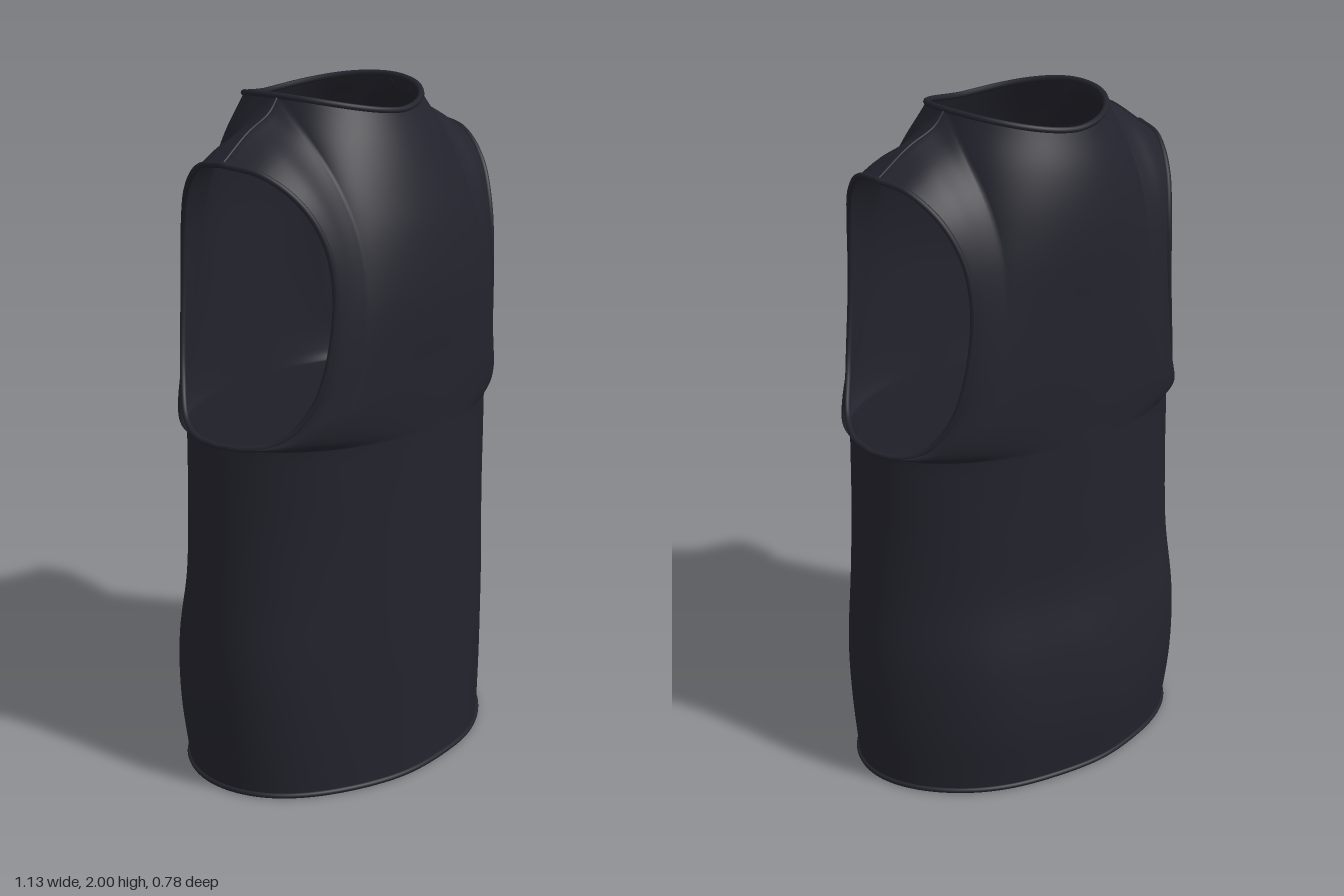
import * as THREE from 'three';
import { mergeVertices } from 'three/addons/utils/BufferGeometryUtils.js';

const V = (x, y, z) => new THREE.Vector3(x, y, z);
const curve = (pts) => new THREE.CatmullRomCurve3(pts.map((p) => V(...p)));
const COLS = 40, NECK_COL = 24, LOW = 30, HIGH = 44;

// Edge guides on the wearer's left: side of the body, then the armhole (z scaled per panel)
const sideLow = curve([[0.535, 0.008, 0], [0.555, 0.2, 0], [0.562, 0.4, 0], [0.548, 0.6, 0], [0.537, 0.8, 0], [0.532, 1.055, 0]]);
const armhole = curve([[0.532, 1.055, 0], [0.515, 1.06, 0.1], [0.47, 1.09, 0.19], [0.41, 1.2, 0.262], [0.368, 1.45, 0.295],
  [0.378, 1.62, 0.278], [0.415, 1.74, 0.22], [0.458, 1.815, 0.12], [0.485, 1.835, 0]]);
const shoulder = curve([[0.25, 1.99, 0], [0.288, 1.948, 0], [0.38, 1.905, 0], [0.485, 1.835, 0]]);

// Centre lines of the two panels
const panels = [
  {
    name: 'frontPanel', dir: 1, arm: 1, neckZ: 0.24,
    low: curve([[0, 0.008, 0.383], [0, 0.2, 0.382], [0, 0.4, 0.382], [0, 0.6, 0.383], [0, 0.8, 0.384], [0, 1.055, 0.387]]),
    high: curve([[0, 1.055, 0.387], [0, 1.09, 0.388], [0, 1.15, 0.39], [0, 1.25, 0.392], [0, 1.45, 0.394], [0, 1.62, 0.368],
      [0, 1.74, 0.33], [0, 1.84, 0.29], [0, 1.945, 0.24]]),
  },
  {
    name: 'backPanel', dir: -1, arm: 0.87, neckZ: 0.262,
    low: curve([[0, 0.008, 0.36], [0, 0.2, 0.382], [0, 0.4, 0.372], [0, 0.6, 0.338], [0, 0.8, 0.336], [0, 1.055, 0.338]]),
    high: curve([[0, 1.055, 0.338], [0, 1.09, 0.338], [0, 1.15, 0.339], [0, 1.25, 0.34], [0, 1.45, 0.34], [0, 1.62, 0.34],
      [0, 1.74, 0.328], [0, 1.84, 0.304], [0, 1.945, 0.262]]),
  },
];

// Top row: half the neckline, then the shoulder seam
function topPoint(p, j) {
  if (j > NECK_COL) return shoulder.getPoint((j - NECK_COL) / (COLS - NECK_COL));
  const t = (j / NECK_COL) * Math.PI / 2;
  return V(0.25 * Math.sin(t), 1.945 + 0.045 * Math.sin(t) ** 1.6, p.neckZ * Math.cos(t));
}

// Rounded row between the edge and the centre line
function rowPoint(e, c, arm, j) {
  const a = (j / COLS) * Math.PI / 2, k = Math.cos(a);
  const ez = e.z * arm;
  return V(e.x * Math.sin(a), e.y + (c.y - e.y) * k, ez + (c.z - ez) * k);
}

// Point on a panel: row 0 is the hem, column runs from -COLS to COLS
function panelPoint(p, row, col) {
  const j = Math.abs(col);
  let q;
  if (row <= LOW) {
    const t = row / LOW;
    q = rowPoint(sideLow.getPoint(t), p.low.getPoint(t), 1, j);
  } else {
    const t = (row - LOW) / HIGH;
    q = rowPoint(armhole.getPoint(t), p.high.getPoint(t), p.arm, j);
    const top = topPoint(p, j).sub(rowPoint(armhole.getPoint(1), p.high.getPoint(1), p.arm, j));
    q.addScaledVector(top, t ** 3);
  }
  if (col < 0) q.x *= -1;
  q.z *= p.dir;
  // Soft folds in the loose lower cloth
  const fold = Math.max(0, 1 - Math.abs(q.y - 0.35) / 0.55);
  const s = 1 + 0.014 * fold * Math.sin(7 * Math.atan2(q.z, q.x) + 0.6);
  q.x *= s;
  q.z *= s;
  return q;
}

// Both panels share one smooth surface so the side seams stay soft
function bodyGeometry() {
  const pos = [], idx = [], w = 2 * COLS + 1;
  panels.forEach((p) => {
    const base = pos.length / 3;
    for (let i = 0; i <= LOW + HIGH; i++) {
      for (let c = -COLS; c <= COLS; c++) pos.push(...panelPoint(p, i, c).toArray());
    }
    for (let i = 0; i < LOW + HIGH; i++) {
      for (let c = 0; c < w - 1; c++) {
        const a = base + i * w + c, b = a + 1, d = a + w, e = d + 1;
        if (p.dir > 0) idx.push(a, b, d, b, e, d);
        else idx.push(a, d, b, b, d, e);
      }
    }
  });
  const g = new THREE.BufferGeometry();
  g.setAttribute('position', new THREE.Float32BufferAttribute(pos, 3));
  g.setIndex(idx);
  const m = mergeVertices(g, 1e-4);
  m.computeVertexNormals();
  return m;
}

export function createModel() {
  const cloth = new THREE.MeshStandardMaterial({ color: 0x23232d, side: THREE.DoubleSide });
  cloth.name = 'dark navy cloth';
  const group = new THREE.Group();
  group.name = 'sleevelessShirt';
  const add = (name, geometry) => {
    const mesh = new THREE.Mesh(geometry, cloth);
    mesh.name = name;
    group.add(mesh);
  };
  const trim = (name, pts, r, closed) =>
    add(name, new THREE.TubeGeometry(new THREE.CatmullRomCurve3(pts, closed), pts.length * 2, r, 8, closed));

  add('body', bodyGeometry());

  // Walk out along the front panel and back along the rear one
  const loop = (n, at) => {
    const pts = [];
    for (let i = 0; i < n; i++) pts.push(at(panels[0], i));
    for (let i = n; i > 0; i--) pts.push(at(panels[1], i));
    return pts;
  };
  const TOP = LOW + HIGH;
  trim('hem', loop(2 * COLS, (p, i) => panelPoint(p, 0, i - COLS)), 0.008, true);
  trim('neckBand', loop(2 * NECK_COL, (p, i) => panelPoint(p, TOP, i - NECK_COL)), 0.009, true);
  for (const [side, s] of [['left', 1], ['right', -1]]) {
    trim(side + 'ArmholeBand', loop(HIGH, (p, i) => panelPoint(p, LOW + i, s * COLS)), 0.009, true);
    const seam = [];
    for (let j = NECK_COL; j <= COLS; j++) seam.push(panelPoint(panels[0], TOP, s * j));
    trim(side + 'ShoulderSeam', seam, 0.004, false);
  }
  return group;
}
